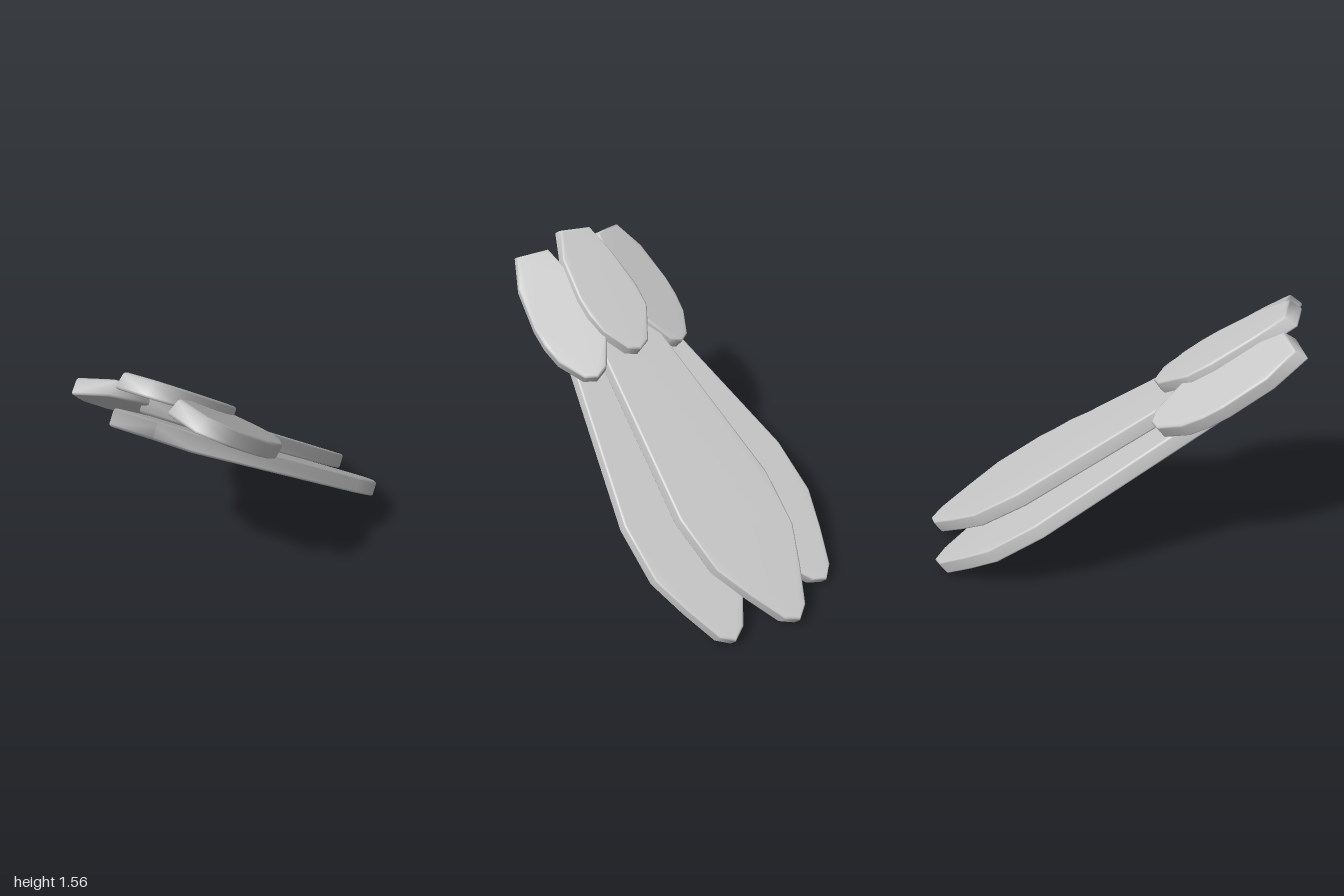
import * as THREE from 'three';
import { mergeVertices } from 'three/addons/utils/BufferGeometryUtils.js';

const TILT = Math.atan(0.727);
const BEVEL = 0.012;

// Flat slab lying in x/z with its underside on y = 0 and a softened rim
function slab(outline, thickness, endSlant = 0) {
  const shape = new THREE.Shape(outline.map(([x, y]) => new THREE.Vector2(x, y)));
  let geo = new THREE.ExtrudeGeometry(shape, {
    depth: thickness - 2 * BEVEL,
    bevelEnabled: true,
    bevelThickness: BEVEL,
    bevelSize: BEVEL,
    bevelOffset: -BEVEL,
    bevelSegments: 2,
  });
  geo.rotateX(Math.PI / 2);
  geo.translate(0, thickness - BEVEL, 0);

  // Slant the cut base end back towards the top face
  geo.computeBoundingBox();
  const pos = geo.attributes.position;
  const limit = geo.boundingBox.max.z - 0.08;
  for (let i = 0; i < pos.count; i++) {
    if (pos.getZ(i) > limit) pos.setZ(i, pos.getZ(i) - endSlant * pos.getY(i) / thickness);
  }

  geo.deleteAttribute('uv');
  geo.deleteAttribute('normal');
  geo = mergeVertices(geo, 1e-4);
  geo.computeVertexNormals();
  return geo;
}

export function createModel() {
  const material = new THREE.MeshStandardMaterial({ color: 0xcccccc });
  const model = new THREE.Group();
  model.name = 'tailFeathers';

  // All feathers share one sloping frame: base end up and forward
  const fan = new THREE.Group();
  fan.name = 'featherFan';
  fan.rotation.x = -TILT;
  model.add(fan);

  // Long feather: tip at the origin, base at +z
  const half = [[0.075, 0.05], [0.175, 0.235], [0.268, 0.434], [0.3, 0.743], [0.14, 2.12]];
  const longOutline = [[0, 0], ...half, ...half.map(([x, y]) => [-x, y]).reverse()];
  const longGeo = slab(longOutline, 0.086);

  // Short feather: slightly lopsided, with a slanted base
  const shortGeo = slab([
    [0.015, 0.874], [0.08, 0.905], [0.155, 1.04], [0.175, 1.152], [0.175, 1.263],
    [0.14, 1.498], [0.06, 1.687], [-0.11, 1.656], [-0.15, 1.449], [-0.175, 1.226],
    [-0.165, 1.09], [-0.13, 1.03], [-0.055, 0.905],
  ], 0.08, 0.032);

  function feather(name, geo, parent, position, yaw = 0, roll = 0) {
    const mesh = new THREE.Mesh(geo, material);
    mesh.name = name;
    mesh.position.set(...position);
    mesh.rotation.set(0, yaw, roll);
    parent.add(mesh);
  }

  // Middle feathers
  feather('middleLongFeather', longGeo, fan, [0, 0.583, -0.75]);
  feather('middleShortFeather', shortGeo, fan, [0, 0.655, 0]);

  // Side feathers: long ones splayed, short ones rolled outwards
  for (const side of [1, -1]) {
    const label = side > 0 ? 'left' : 'right';
    const pair = new THREE.Group();
    pair.name = label + 'Feathers';
    pair.scale.x = side;
    fan.add(pair);
    feather(label + 'LongFeather', longGeo, pair, [0.33, 0.488, -0.667], -0.119);
    feather(label + 'ShortFeather', shortGeo, pair, [0.252, 0.59, -0.03], 0, -0.234);
  }
  return model;
}
